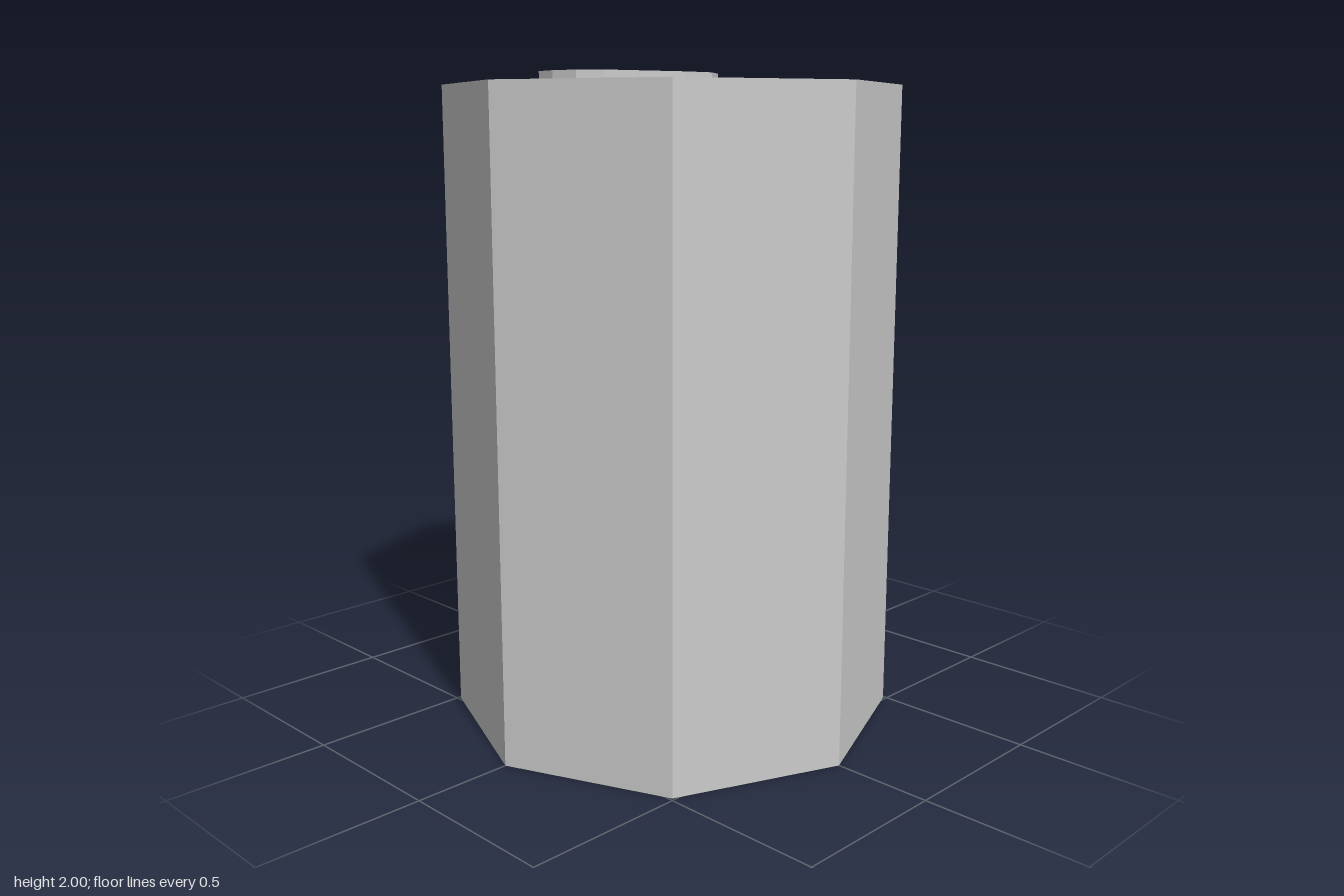
import * as THREE from 'three';

const material = new THREE.MeshStandardMaterial({ color: 0xcccccc, flatShading: true });

// Mirrors a half outline (x >= 0, from back to front) into a closed loop in x and z.
function mirrored(half) {
  const other = half.slice(1, -1).reverse().map(([x, z]) => [-x, z]);
  return [...half, ...other].map(([x, z]) => new THREE.Vector2(x, z));
}

export function createModel() {
  const model = new THREE.Group();
  model.name = 'drinkCan';

  // Eight-sided body with a recessed lid and base
  const radius = 0.695, rim = 0.618, top = 1.97, lid = 1.93, base = 0.035;
  const profile = [
    [0, base], [rim, base], [rim, 0], [radius, 0],
    [radius, top], [rim, top], [rim, lid], [0, lid],
  ].map(([r, y]) => new THREE.Vector2(r, y));
  const body = new THREE.Mesh(new THREE.LatheGeometry(profile, 8), material);
  body.name = 'body';
  model.add(body);

  // Pull tab with a finger hole, resting on the lid
  const outline = new THREE.Shape(mirrored([
    [0, -0.095], [0.138, -0.055], [0.2, 0.037], [0.2, 0.145],
    [0.138, 0.4], [0.08, 0.453], [0, 0.47],
  ]));
  outline.holes.push(new THREE.Path(mirrored([
    [0, -0.06], [0.11, -0.03], [0.163, 0.045], [0.163, 0.138], [0.103, 0.18], [0, 0.197],
  ])));
  const tabGeometry = new THREE.ExtrudeGeometry(outline, { depth: 2 - lid, bevelEnabled: false });
  tabGeometry.rotateX(Math.PI / 2);
  const tab = new THREE.Mesh(tabGeometry, material);
  tab.name = 'pullTab';
  tab.position.y = 2;
  model.add(tab);

  return model;
}
